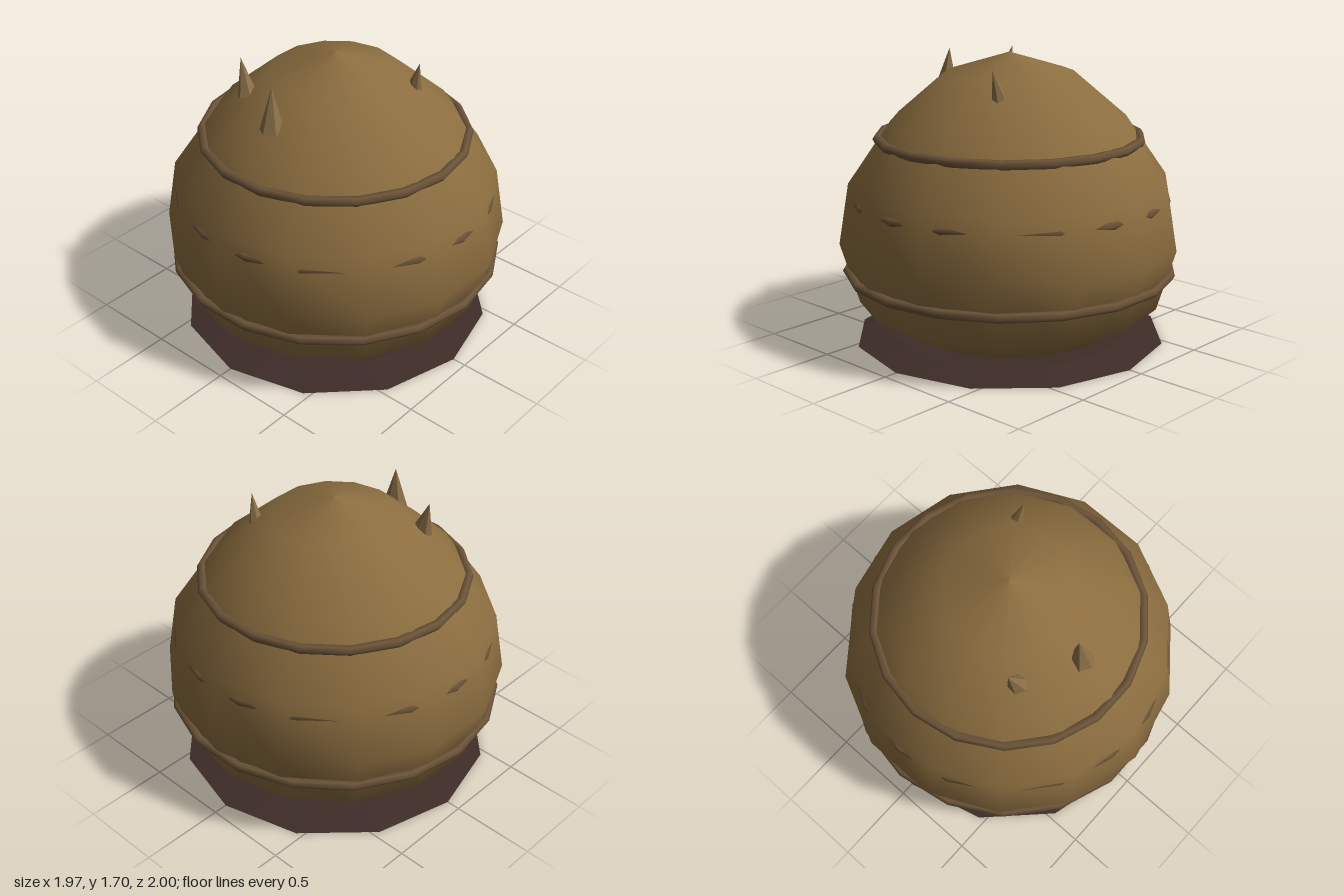
import * as THREE from 'three';

const paint = (color, flatShading = false) => new THREE.MeshStandardMaterial({ color, flatShading });

export function createModel() {
  const model = new THREE.Group();
  const shellMaterial = paint(0x8b6d3f);
  const bandMaterial = paint(0x6b5338);
  const spikeMaterial = paint(0x8b7048, true);

  const add = (name, geometry, material) => {
    const mesh = new THREE.Mesh(geometry, material);
    mesh.name = name;
    model.add(mesh);
    return mesh;
  };

  // Low, tapered plinth
  const plinth = add('plinth', new THREE.CylinderGeometry(0.7, 0.92, 0.035, 12), paint(0x3e2c28));
  plinth.position.y = 0.0175;

  // Fourteen-sided rounded shell, from the underside up to the peak
  const profile = [
    [0, 0.045], [0.58, 0.047], [0.89, 0.23], [1, 0.59],
    [0.94, 0.95], [0.69, 1.31], [0.375, 1.58], [0, 1.695],
  ].map(([r, y]) => new THREE.Vector2(r, y));
  add('shell', new THREE.LatheGeometry(profile, 14), shellMaterial);

  // Bands: the middle one is sunk so that only its corners break the surface
  const bands = [['lowerBand', 0.957, 0.42], ['middleBand', 0.919, 0.865], ['upperBand', 0.765, 1.202]];
  for (const [name, radius, y] of bands) {
    const band = add(name, new THREE.TorusGeometry(radius, 0.028, 6, 18), bandMaterial);
    band.rotation.x = Math.PI / 2;
    band.position.y = y;
  }

  // Leaning spikes, each set by its base centre, tip and radius
  const spikes = [
    ['frontSpike', [0.005, 1.42, 0.52], [-0.01, 1.67, 0.5], 0.072],
    ['rightSpike', [-0.335, 1.45, 0.36], [-0.395, 1.66, 0.345], 0.06],
    ['backSpike', [0.355, 1.48, -0.262], [0.4, 1.66, -0.25], 0.047],
  ];
  const up = new THREE.Vector3(0, 1, 0);
  for (const [name, from, to, radius] of spikes) {
    const base = new THREE.Vector3(...from);
    const axis = new THREE.Vector3(...to).sub(base);
    const spike = add(name, new THREE.ConeGeometry(radius, axis.length(), 6), spikeMaterial);
    spike.position.copy(base).addScaledVector(axis, 0.5);
    spike.quaternion.setFromUnitVectors(up, axis.normalize());
  }

  return model;
}
